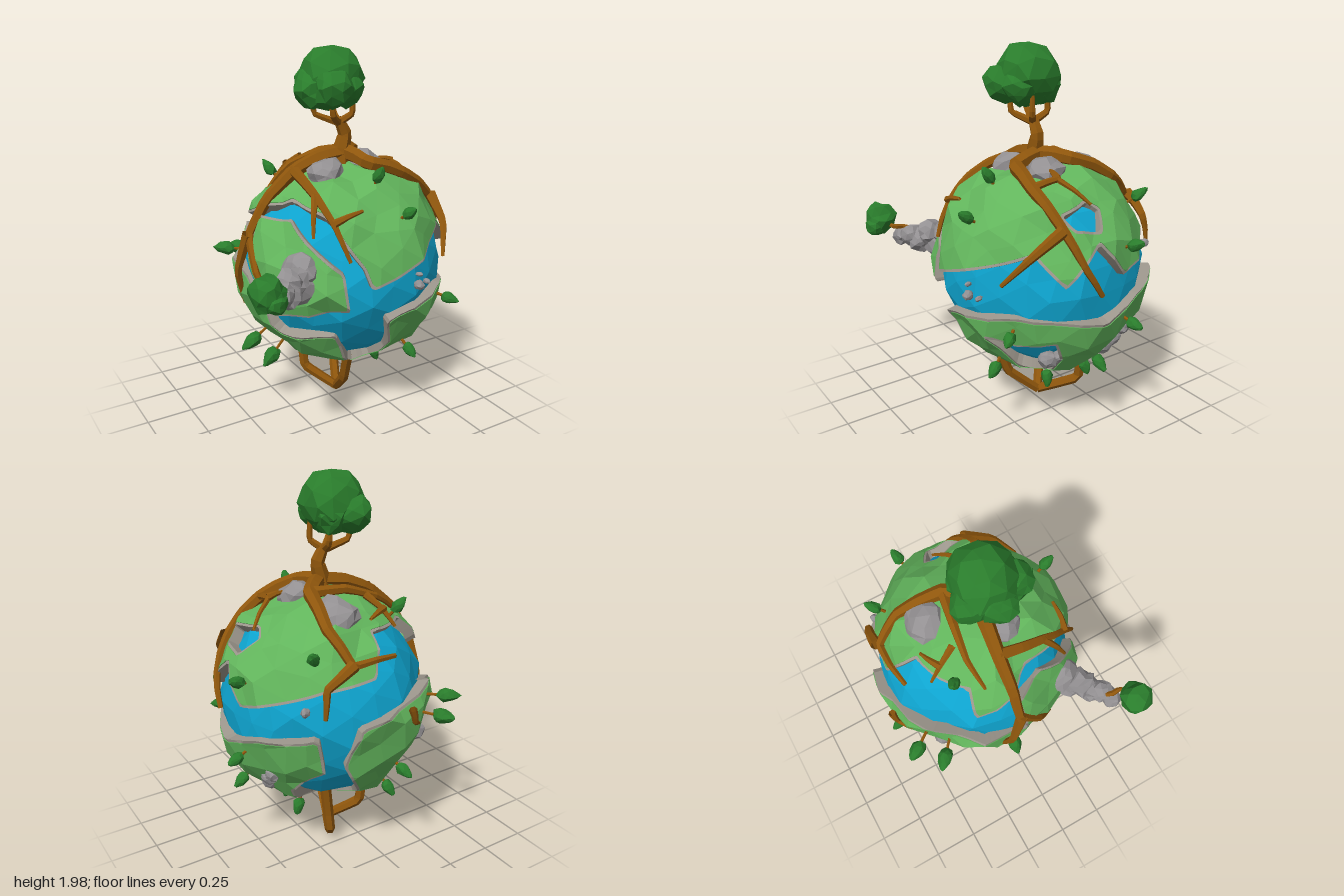
import * as THREE from 'three';

const CENTER = new THREE.Vector3(0.1, 0.84, -0.03);
const UP = new THREE.Vector3(0, 1, 0);
const V = (x, y, z) => new THREE.Vector3(x, y, z);
const paint = (color) => new THREE.MeshStandardMaterial({ color, flatShading: true, side: THREE.DoubleSide });

// Direction on the globe from degrees, longitude 0 = front, 90 = +x
function direction([lon, lat]) {
  return V(0, 0, 0).setFromSphericalCoords(1, THREE.MathUtils.degToRad(90 - lat), THREE.MathUtils.degToRad(lon));
}
const onGlobe = (lonLat, radius) => direction(lonLat).multiplyScalar(radius).add(CENTER);

// Shorelines as [longitude, latitude]
const SEA_NORTH = [[-72, 47], [-40, 38], [-20, 13], [-16, 2], [50, 24], [66, 8], [86, 27], [102, 8], [149, 22],
  [180, 26], [192, 50], [240, 46], [244, 28], [258, 32], [288, 47]];
const SEA_SOUTH = [[288, -29], [275, -6], [219, 14], [168, 3], [160, -19], [168, -34], [184, -61], [170, -80], [130, -78],
  [128, -41], [150, -21], [147, 0], [114, -6], [89, -14], [41, -8], [-7, -16], [2, -43], [0, -60], [-24, -59], [-35, -29], [-72, -29]];
const SEA = [...SEA_NORTH, ...SEA_SOUTH];
const ISLAND = [[-90, 33], [-66, 37], [-30, 11], [-27, -9], [-68, -16], [-88, 3]];
const FRONT_LAKE = [[24, -21], [40, -26], [62, -24], [66, -36], [60, -51], [39, -43]];
const UPPER_LAKE = [[67, 42], [90, 50], [98, 45], [90, 33], [74, 35]];

// Signed distance in degrees to an outline, positive inside
function inside(poly, lon, lat) {
  const k = Math.cos(THREE.MathUtils.degToRad(lat));
  let best = Infinity, isIn = false;
  for (const l of [lon, lon + 360]) {
    let odd = false;
    poly.forEach(([x1, y1], i) => {
      const [x2, y2] = poly[(i + 1) % poly.length];
      if ((y1 > lat) !== (y2 > lat) && l < x1 + (lat - y1) / (y2 - y1) * (x2 - x1)) odd = !odd;
      const ex = (x2 - x1) * k, ey = y2 - y1, px = (l - x1) * k, py = lat - y1;
      const t = THREE.MathUtils.clamp((px * ex + py * ey) / (ex * ex + ey * ey), 0, 1);
      best = Math.min(best, Math.hypot(px - t * ex, py - t * ey));
    });
    isIn = isIn || odd;
  }
  return isIn ? best : -best;
}
function water(p) {
  const lon = THREE.MathUtils.radToDeg(Math.atan2(p.x, p.z));
  const lat = THREE.MathUtils.radToDeg(Math.asin(p.y / p.length()));
  const [sea, island, front, upper] = [SEA, ISLAND, FRONT_LAKE, UPPER_LAKE].map((q) => inside(q, lon, lat));
  return Math.max(Math.min(sea, -island), front, upper);
}

// Faceted ball whose shared corners are shifted by a fixed hash
function roughBall(radius, detail, amount, seed) {
  const g = new THREE.IcosahedronGeometry(radius, detail), p = g.attributes.position;
  for (let i = 0; i < p.count; i++) {
    const c = [p.getX(i), p.getY(i), p.getZ(i)];
    const [a, b, d] = c.map((n) => Math.round(n / radius * 500));
    const moved = c.map((n, k) => {
      const s = Math.sin(a * 12.9 * (k + 1) + b * 78.2 + d * 37.7 + seed * 9.1 + k * 4.3) * 43758.5;
      return n + (s - Math.floor(s) - 0.5) * 2 * amount;
    });
    p.setXYZ(i, ...moved);
  }
  g.computeVertexNormals();
  return g;
}

// Dry part of the globe, cut along the shoreline, with a wall down into the sea
function shell(level, scale, deepest) {
  const pos = roughBall(0.575, 4, 0.028, 0).attributes.position, out = [], N = 5;
  const push = (...pts) => pts.forEach((p) => out.push(p.x, p.y, p.z));
  function cut(tri) {
    if (tri.every((c) => c.f >= level) || tri.every((c) => c.f < deepest)) return;
    const poly = [], rim = [];
    tri.forEach((a, i) => {
      const b = tri[(i + 1) % 3];
      if (a.f < level) poly.push(a.p);
      if ((a.f < level) !== (b.f < level)) {
        const m = a.p.clone().lerp(b.p, (level - a.f) / (b.f - a.f));
        poly.push(m);
        rim.push(m);
      }
    });
    for (let i = 1; i + 1 < poly.length; i++) push(poly[0], poly[i], poly[i + 1]);
    if (rim.length === 2) {
      const [a, b] = rim, c = a.clone().multiplyScalar(0.9), d = b.clone().multiplyScalar(0.9);
      push(a, c, b, b, c, d);
    }
  }
  for (let i = 0; i < pos.count; i += 3) {
    const [a, b, c] = [0, 1, 2].map((k) => V(0, 0, 0).fromBufferAttribute(pos, i + k).multiplyScalar(scale));
    const grid = [];
    for (let u = 0; u <= N; u++) {
      grid.push([]);
      for (let v = 0; v <= N - u; v++) {
        const p = a.clone().multiplyScalar((N - u - v) / N).addScaledVector(b, u / N).addScaledVector(c, v / N);
        grid[u].push({ p, f: water(p) });
      }
    }
    for (let u = 0; u < N; u++) for (let v = 0; v < N - u; v++) {
      cut([grid[u][v], grid[u + 1][v], grid[u][v + 1]]);
      if (v < N - u - 1) cut([grid[u + 1][v], grid[u + 1][v + 1], grid[u][v + 1]]);
    }
  }
  const g = new THREE.BufferGeometry();
  g.setAttribute('position', new THREE.Float32BufferAttribute(out, 3));
  g.computeVertexNormals();
  return g;
}

// Tapered, angular limb through points
function limb(points, r0, r1) {
  const curve = new THREE.CatmullRomCurve3(points, false, 'catmullrom', 0.15);
  const n = points.length * 3, sides = 6, g = new THREE.TubeGeometry(curve, n, 1, sides), p = g.attributes.position;
  const v = V(0, 0, 0);
  for (let i = 0; i < p.count; i++) {
    const t = Math.floor(i / (sides + 1)) / n, c = curve.getPointAt(t);
    v.fromBufferAttribute(p, i).sub(c).multiplyScalar(r0 + (r1 - r0) * t).add(c);
    p.setXYZ(i, v.x, v.y, v.z);
  }
  return g;
}

// Limb that hugs the globe between waypoints, sinking to its tip
function groundRoot(waypoints, r0, r1) {
  const dirs = waypoints.map(direction), path = [dirs[0]];
  for (let i = 1; i < dirs.length; i++) {
    path.push(dirs[i - 1].clone().lerp(dirs[i], 0.5).normalize(), dirs[i]);
  }
  return limb(path.map((d, i) => d.clone().multiplyScalar(0.605 - 0.04 * (i / path.length) ** 2).add(CENTER)), r0, r1);
}

export function createModel() {
  const model = new THREE.Group();
  const land = paint(0x62b55c), sea = paint(0x0ea5d0), sand = paint(0x9c968c);
  const bark = paint(0x8f560c), leaf = paint(0x2a7d2c), stone = paint(0x939092);
  const add = (name, geo, material, at) => {
    const mesh = new THREE.Mesh(geo, material);
    mesh.name = name;
    mesh.position.copy(at);
    model.add(mesh);
    return mesh;
  };
  const addLimb = (name, geo) => add(name, geo, bark, V(0, 0, 0));

  // Globe
  add('sea', roughBall(0.53, 3, 0.013, 3), sea, CENTER);
  add('land', shell(-1.4, 1, -Infinity), land, CENTER);
  add('shore', shell(0, 0.993, -6), sand, CENTER);

  // Great tree: trunk, ring of branches, lobed crown
  addLimb('trunk', limb([V(0.07, 1.38, 0), V(0.08, 1.46, 0), V(0.1, 1.54, 0), V(0.06, 1.62, 0)], 0.055, 0.026));
  for (let i = 0; i < 4; i++) {
    const a = i * Math.PI / 2 + 0.5, x = Math.cos(a), z = Math.sin(a);
    addLimb('branch', limb([V(0.06, 1.6, 0), V(0.03 + 0.1 * x, 1.65, 0.09 * z), V(0.02 + 0.11 * x, 1.75, 0.09 * z)], 0.021, 0.012));
  }
  add('treeCrown', roughBall(0.165, 1, 0.016, 0), leaf, V(0.012, 1.837, 0));
  for (let i = 0; i < 5; i++) {
    const a = Math.PI + i * Math.PI * 0.4;
    add('treeCrown', roughBall(0.1, 1, 0.012, i + 1), leaf, V(-0.012 + 0.09 * Math.cos(a), 1.79, 0.01 + 0.11 * Math.sin(a)));
  }

  // Roots over the globe: main ones first, then their forks
  const leftFork = [-90, 61], rightFork = [46, 57], backFork = [127, 76], crown = [0, 87];
  const mainRoots = [
    [crown, leftFork, [-91, 22], [-68, -13]],
    [crown, [11, 71], rightFork, [66, 36], [76, 17], [85, 2]],
    [crown, backFork, [153, 52], [166, 34], [197, 34]],
  ];
  const sideRoots = [
    [leftFork, [-51, 49], [-36, 35], [-27, 17]],
    [[-91, 22], [-103, -20]],
    [[66, 35], [35, 9]],
    [[166, 34], [151, 24], [150, 10]],
    [backFork, [238, 62], [252, 46]],
  ];
  const twigs = [
    [[-36, 35], [-18, 42]], [[-51, 49], [-47, 28]], [rightFork, [70, 63], [91, 47]], [[70, 63], [65, 72]],
    [[220, 67], [213, 46]], [[216, 56], [194, 55]], [[196, 7], [199, -1], [207, -5]],
  ];
  mainRoots.forEach((w) => addLimb('mainRoot', groundRoot(w, 0.045, 0.013)));
  sideRoots.forEach((w) => addLimb('sideRoot', groundRoot(w, 0.032, 0.01)));
  twigs.forEach((w) => addLimb('rootTwig', groundRoot(w, 0.021, 0.008)));

  // Root loops beneath, meeting at the lowest point
  const lowest = V(0.07, 0.035, -0.03);
  [
    [V(0, 0.38, 0.21), V(0.02, 0.18, 0.13)],
    [V(-0.09, 0.34, -0.17), V(-0.07, 0.15, -0.15)],
    [V(0.21, 0.38, -0.24), V(0.18, 0.09, -0.24)],
  ].forEach(([start, knee]) => {
    const bend = start.clone().lerp(knee, 0.6);
    addLimb('rootLoop', limb([start, bend, knee, lowest], 0.03, 0.026));
  });

  // Rocks as [longitude, latitude, size], lying flat on the ground
  [
    [166, 65, 0.11], [61, 77, 0.1], [-61, 71, 0.1], [59, -41, 0.055], [66, -38, 0.03], [107, -42, 0.045], [111, -36, 0.045],
    [117, -30, 0.04], [223, -19, 0.045], [14, -1, 0.026], [21, -1, 0.014], [14, 5, 0.012], [140, 13, 0.024],
  ].forEach(([lon, lat, size], i) => {
    const rock = add('rock', roughBall(1, 1, 0.14, i + 10), stone, onGlobe([lon, lat], 0.555));
    rock.quaternion.setFromUnitVectors(UP, direction([lon, lat]));
    rock.scale.set(size, 0.016 + size * 0.5, size);
  });

  // Rocky spur with its own little tree
  for (let i = 0; i < 6; i++) {
    const t = i / 5, r = 0.095 - 0.04 * t;
    const at = V(-0.33, 0.91, 0.29).lerp(V(-0.56, 0.9, 0.47), t);
    at.y += (i % 2 ? -0.03 : 0.04) * (1 - t);
    add('spurRock', roughBall(r, 1, r * 0.16, i + 30), stone, at);
  }
  addLimb('spurTrunk', limb([V(-0.53, 0.93, 0.41), V(-0.56, 0.95, 0.47), V(-0.56, 0.96, 0.52), V(-0.64, 0.98, 0.56)], 0.018, 0.01));
  add('spurCrown', roughBall(0.088, 1, 0.011, 40), leaf, V(-0.65, 0.995, 0.56));
  add('spurCrown', roughBall(0.055, 1, 0.006, 41), leaf, V(-0.63, 0.96, 0.6));

  // Small trees standing straight out of the land
  function smallTree(lonLat, reach, size, seed) {
    const at = onGlobe(lonLat, reach), g = roughBall(1, 1, 0.1, seed), p = g.attributes.position;
    for (let k = 0; k < p.count; k++) {
      const w = 0.85 - 0.35 * p.getY(k);
      p.setXYZ(k, p.getX(k) * w, p.getY(k), p.getZ(k) * w);
    }
    addLimb('smallTrunk', limb([onGlobe(lonLat, 0.54), at], 0.009, 0.007));
    const top = add('smallCrown', g, leaf, at);
    top.quaternion.setFromUnitVectors(UP, direction(lonLat));
    top.scale.set(size * 0.68, size, size * 0.68);
  }
  [
    [105, 22], [2, 58], [9, 36], [144, 37], [104, -16], [91, -38], [40, -15], [23, -44], [65, -72], [120, -65],
    [194, -25], [230, 51], [205, -48],
  ].forEach((lonLat, i) => smallTree(lonLat, 0.64, 0.05, i + 50));
  [[215, -3], [229, 1], [268, -35], [268, -49]].forEach((lonLat, i) => smallTree(lonLat, 0.68, 0.064, i + 70));
  return model;
}
